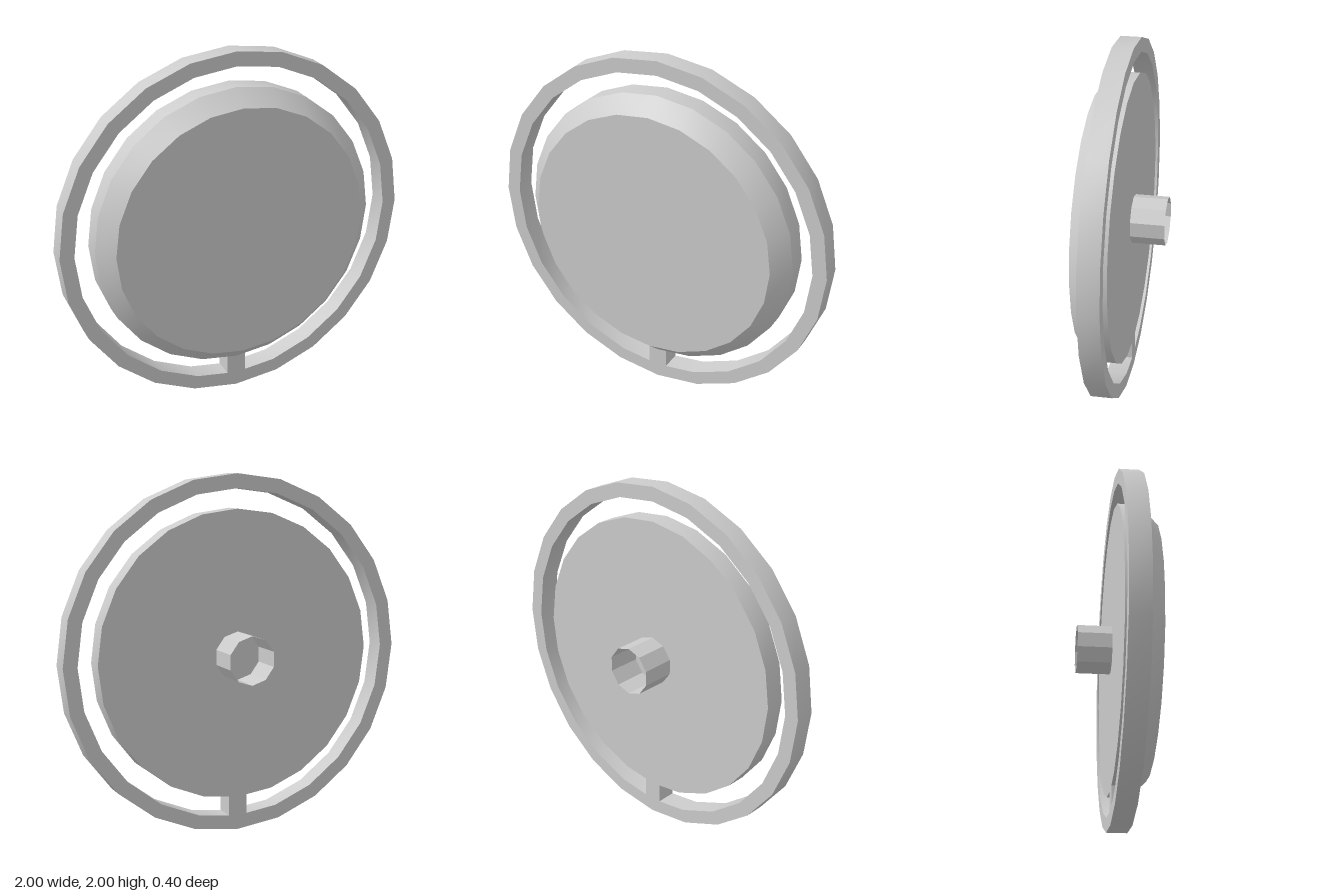
import * as THREE from 'three';
import { toCreasedNormals } from 'three/addons/utils/BufferGeometryUtils.js';

const BACK = -0.01, RIM = 0.105, FRONT = 0.2, STEM = -0.2;

export function createModel() {
  const group = new THREE.Group();
  const material = new THREE.MeshStandardMaterial({ color: 0xcccccc });

  const add = (name, geometry, mat = material) => {
    const mesh = new THREE.Mesh(geometry, mat);
    mesh.name = name;
    group.add(mesh);
    return mesh;
  };

  // Turns a [radius, z] profile around the z axis, centred at y = 1
  const turn = (profile, sides) => {
    const points = profile.map(([r, z]) => new THREE.Vector2(r, z));
    const geometry = new THREE.LatheGeometry(points, sides);
    geometry.rotateX(Math.PI / 2).translate(0, 1, 0);
    return toCreasedNormals(geometry, 0.45);
  };

  // Solid disc with a bevelled front edge
  add('disc', turn([[0, BACK], [0.81, BACK], [0.81, RIM], [0.723, FRONT], [0, FRONT]], 24));

  // Thin ring around the disc
  add('outerRing', turn([[0.92, BACK], [1, BACK], [1, RIM], [0.92, RIM], [0.92, BACK]], 24));

  // Short bridge joining ring and disc at the bottom
  const bridge = add('bridge', new THREE.BoxGeometry(0.11, 0.13, RIM - BACK));
  bridge.position.set(0, 0.145, (RIM + BACK) / 2);

  // Open ten-sided stem on the back
  const stemMaterial = new THREE.MeshStandardMaterial({
    color: 0xcccccc, flatShading: true, side: THREE.DoubleSide,
  });
  add('stem', turn([[0.136, STEM], [0.136, BACK]], 10), stemMaterial);

  return group;
}
